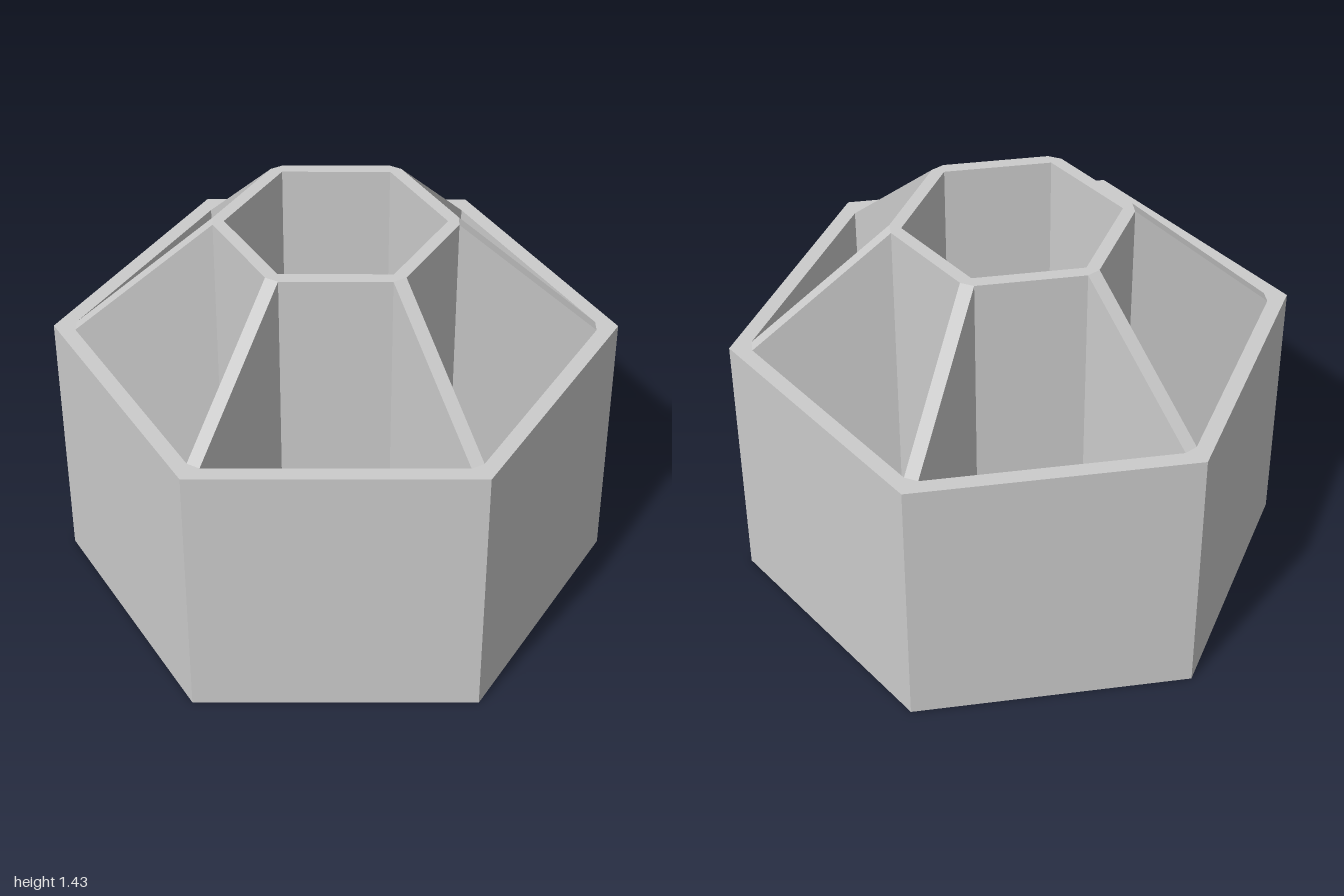
import * as THREE from 'three';

const material = new THREE.MeshStandardMaterial({ color: 0xcccccc, flatShading: true, side: THREE.DoubleSide });
const WALL_Y = 1, TUBE_Y = 1.435, TUBE_FLOOR_Y = 0.05;
const WALL_R = 1, BORE_R = 0.383;
const WALL_IN = 0.81, TUBE_OUT = 0.377; // distances of the pocket's end walls from the axis
const RIB_HALF = 0.025;
const T30 = Math.tan(Math.PI / 6), C30 = Math.cos(Math.PI / 6), S30 = 0.5;

function addMesh(group, name, geometry, y = 0) {
  const mesh = new THREE.Mesh(geometry, material);
  mesh.name = name;
  mesh.position.y = y;
  group.add(mesh);
  return mesh;
}

// Quads given as lists of four [x, y, z] corners
function quadGeometry(quads) {
  const geometry = new THREE.BufferGeometry();
  const positions = quads.flatMap(([a, b, c, d]) => [a, b, c, a, c, d].flat());
  geometry.setAttribute('position', new THREE.Float32BufferAttribute(positions, 3));
  geometry.computeVertexNormals();
  return geometry;
}

// Half the width of a pocket between two ribs, at a distance from the axis
const halfWidth = (d) => d * T30 - RIB_HALF / C30;

// Hexagon with corners on the z axis
const hexagon = (r) => Array.from({ length: 6 }, (_, i) =>
  new THREE.Vector2(r * Math.sin((i * Math.PI) / 3), r * Math.cos((i * Math.PI) / 3)));

// Hexagon whose corners are cut square where the ribs meet it
const cutHexagon = (d) => Array.from({ length: 6 }, (_, i) => [-1, 1].map((side) =>
  new THREE.Vector2(d, side * halfWidth(d)).rotateAround(new THREE.Vector2(), (i * Math.PI) / 3))).flat();

// Flat upward face, with an optional hole
function flatFace(outline, hole) {
  const shape = new THREE.Shape(outline);
  if (hole) shape.holes.push(new THREE.Path(hole));
  return new THREE.ShapeGeometry(shape).rotateX(-Math.PI / 2);
}

// Open hexagonal sleeve from y0 to y1
const sleeve = (r, y0, y1) =>
  new THREE.CylinderGeometry(r, r, y1 - y0, 6, 1, true).translate(0, (y0 + y1) / 2, 0);

export function createModel() {
  const group = new THREE.Group();
  group.name = 'hexagonalHolder';

  // Outer shell and its rim
  addMesh(group, 'outerWall', sleeve(WALL_R, 0, WALL_Y));
  addMesh(group, 'outerRim', flatFace(hexagon(WALL_R), cutHexagon(WALL_IN)), WALL_Y);

  // Centre tube: bore, raised floor and rim
  addMesh(group, 'tubeBore', sleeve(BORE_R, TUBE_FLOOR_Y, TUBE_Y));
  addMesh(group, 'tubeFloor', flatFace(hexagon(BORE_R)), TUBE_FLOOR_Y);
  addMesh(group, 'tubeRim', flatFace(cutHexagon(TUBE_OUT), hexagon(BORE_R)), TUBE_Y);

  // One pocket: floor, end walls and the rib faces beside it
  const inner = (side, y) => [TUBE_OUT, y, side * halfWidth(TUBE_OUT)];
  const outer = (side, y) => [WALL_IN, y, side * halfWidth(WALL_IN)];
  const pocket = quadGeometry([
    [inner(-1, 0), inner(1, 0), outer(1, 0), outer(-1, 0)],
    [inner(1, 0), inner(-1, 0), inner(-1, TUBE_Y), inner(1, TUBE_Y)],
    [outer(-1, 0), outer(1, 0), outer(1, WALL_Y), outer(-1, WALL_Y)],
    [inner(-1, 0), outer(-1, 0), outer(-1, WALL_Y), inner(-1, TUBE_Y)],
    [outer(1, 0), inner(1, 0), inner(1, TUBE_Y), outer(1, WALL_Y)],
  ]);

  // Sloping top of the rib along the pocket's corner line
  const ribPoint = (d, side, y) => {
    const r = d / C30 - RIB_HALF * T30, w = side * RIB_HALF;
    return [r * C30 - w * S30, y, r * S30 + w * C30];
  };
  const ribTop = quadGeometry([[
    ribPoint(TUBE_OUT, -1, TUBE_Y), ribPoint(TUBE_OUT, 1, TUBE_Y),
    ribPoint(WALL_IN, 1, WALL_Y), ribPoint(WALL_IN, -1, WALL_Y),
  ]]);

  for (let i = 0; i < 6; i++) {
    addMesh(group, `pocket${i + 1}`, pocket).rotation.y = (i * Math.PI) / 3;
    addMesh(group, `ribTop${i + 1}`, ribTop).rotation.y = (i * Math.PI) / 3;
  }
  return group;
}
